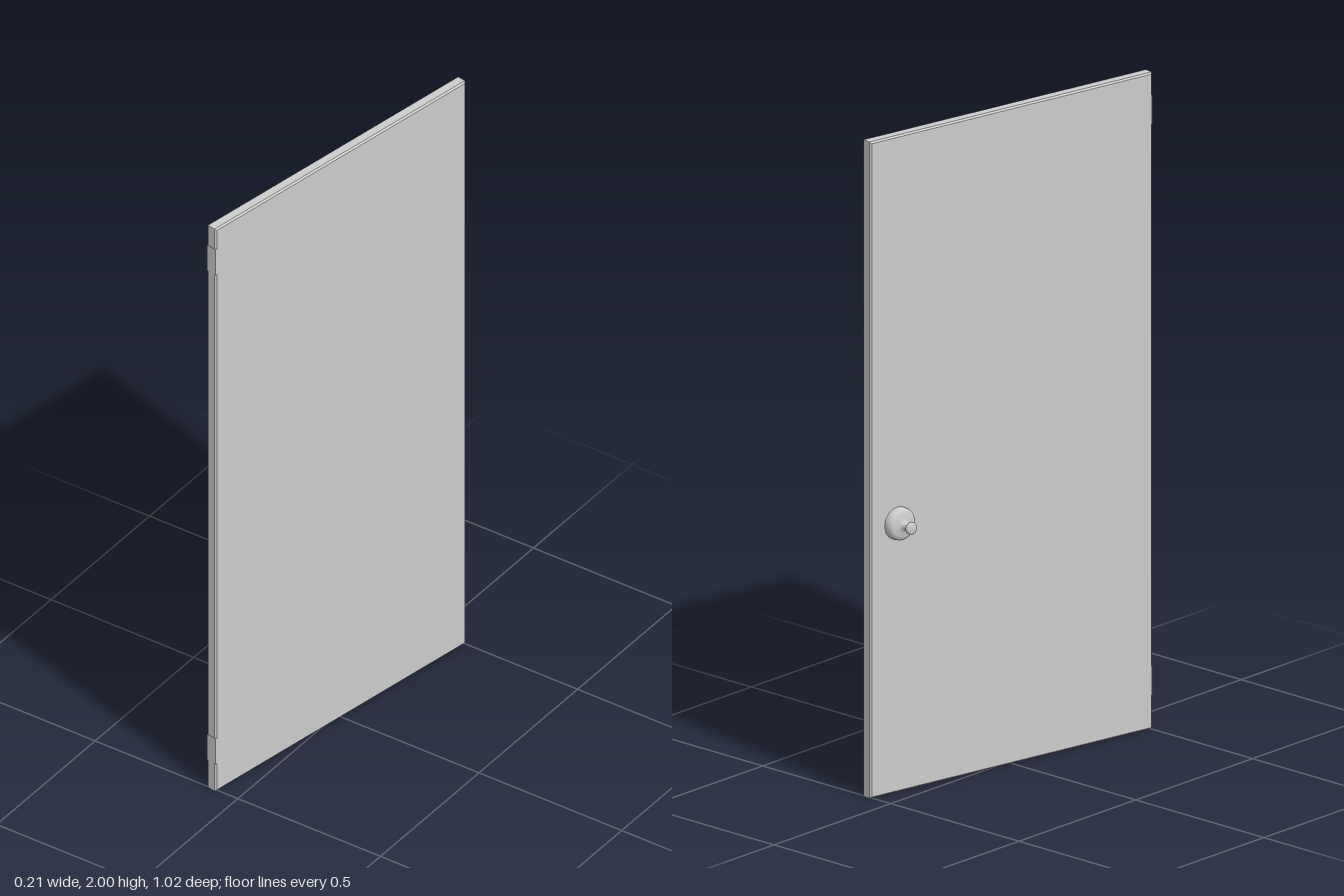
import * as THREE from 'three';

const LENGTH = 1.028, HEIGHT = 2, THICK = 0.037, BEVEL = 0.005;

export function createModel() {
  const material = new THREE.MeshStandardMaterial({ color: 0xcccccc });
  const model = new THREE.Group();
  const door = new THREE.Group();
  door.name = 'door';
  door.rotation.y = THREE.MathUtils.degToRad(-10);
  model.add(door);

  const add = (name, geometry, x = 0, y = 0, z = 0) => {
    const mesh = new THREE.Mesh(geometry, material);
    mesh.name = name;
    mesh.position.set(x, y, z);
    door.add(mesh);
    return mesh;
  };

  // Slab with chamfered edges around both broad faces
  const w = LENGTH / 2 - BEVEL, h = HEIGHT / 2 - BEVEL;
  const outline = new THREE.Shape([
    new THREE.Vector2(-w, -h), new THREE.Vector2(w, -h),
    new THREE.Vector2(w, h), new THREE.Vector2(-w, h),
  ]);
  const depth = THICK - 2 * BEVEL;
  const slab = new THREE.ExtrudeGeometry(outline, {
    depth, bevelEnabled: true, bevelSize: BEVEL, bevelThickness: BEVEL, bevelSegments: 1,
  });
  slab.translate(0, 0, -depth / 2).rotateY(Math.PI / 2);
  add('slab', slab, 0, HEIGHT / 2, 0);

  // Hinge plates let into the hinge edge
  for (const [name, y] of [['lowerHinge', 0.145], ['upperHinge', 1.885]]) {
    add(name, new THREE.BoxGeometry(0.034, 0.09, 0.008), 0.0025, y, LENGTH / 2 - 0.002);
  }

  // Knob with round rosette, turned on one axis
  const profile = [
    [0.049, -0.002], [0.049, 0.01], [0.047, 0.019], [0.043, 0.025], [0.035, 0.028],
    [0.021, 0.03], [0.014, 0.033], [0.011, 0.038], [0.010, 0.048], [0.013, 0.054],
    [0.018, 0.058], [0.0185, 0.063], [0.017, 0.067], [0.013, 0.069], [0, 0.07],
  ].map(([r, y]) => new THREE.Vector2(r, y));
  const knob = add('knob', new THREE.LatheGeometry(profile, 32), -THICK / 2, 0.82, -0.413);
  knob.rotation.z = Math.PI / 2;

  return model;
}
